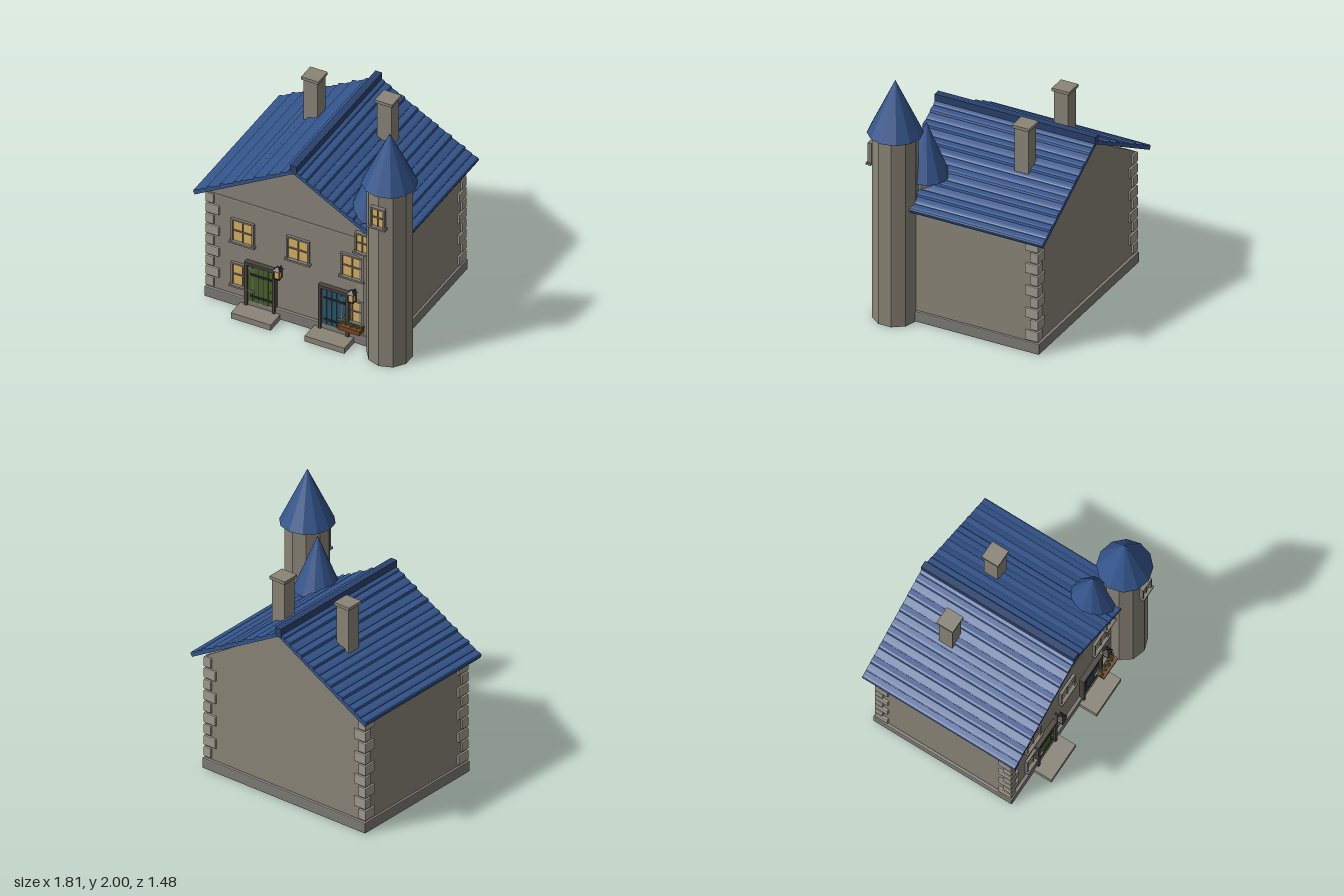
import * as THREE from 'three';
import { RoundedBoxGeometry } from 'three/addons/geometries/RoundedBoxGeometry.js';

const mat = (color) => new THREE.MeshStandardMaterial({ color, flatShading: true });
const M = {
  wall: mat(0x8a8478), stone: mat(0xa09a8e), trim: mat(0x7d7a74), roof: mat(0x34558c), ridge: mat(0x2a416c),
  glass: mat(0xd8b060), iron: mat(0x2a2a2e), frame: mat(0x4a443e), green: mat(0x46602a), blue: mat(0x2c5468),
  brass: mat(0xa07838), wood: mat(0x7a4426), leaf: mat(0x4f7038),
};

// House extents: centre line, wall faces
const CX = -0.07, HALF = 0.755, ZB = -0.65, ZF = 0.51, EAVE = 0.945;

function add(parent, name, geo, material, x = 0, y = 0, z = 0) {
  const m = new THREE.Mesh(geo, material);
  m.name = name;
  m.position.set(x, y, z);
  parent.add(m);
  return m;
}

// Box from its minimum and maximum corners
function box(parent, name, material, x0, x1, y0, y1, z0, z1) {
  return add(parent, name, new THREE.BoxGeometry(x1 - x0, y1 - y0, z1 - z0), material,
    (x0 + x1) / 2, (y0 + y1) / 2, (z0 + z1) / 2);
}

function group(parent, name, x = 0, y = 0, z = 0) {
  const g = new THREE.Group();
  g.name = name;
  g.position.set(x, y, z);
  parent.add(g);
  return g;
}

// Window centred on its own origin, sitting on a wall facing +z
function addWindow(parent, name, x, y, z, w, h) {
  const g = group(parent, name, x, y, z), t = 0.014, W = w / 2, H = h / 2;
  box(g, 'pane', M.glass, -W, W, -H, H, -0.01, 0.006);
  for (const s of [-1, 1]) {
    box(g, 'sideFrame', M.trim, s * W - t / 2, s * W + t / 2, -H, H, -0.01, 0.022);
  }
  box(g, 'topFrame', M.trim, -W - t / 2, W + t / 2, H - t / 2, H + t / 2, -0.01, 0.022);
  box(g, 'sill', M.trim, -W - 0.018, W + 0.018, -H - 0.012, -H + 0.004, -0.01, 0.034);
  box(g, 'mullion', M.trim, -0.005, 0.005, -H, H, 0, 0.014);
  box(g, 'crossbar', M.trim, -W, W, -0.005, 0.005, 0, 0.014);
}

// Plank door with frame, iron straps, knob and a doorstep
function addDoor(parent, name, x, material) {
  const g = group(parent, name, x, 0, ZF), W = 0.105, top = 0.415;
  for (const s of [-1, 1]) {
    box(g, 'jamb', M.frame, s * 0.115 - 0.012, s * 0.115 + 0.012, 0.05, 0.44, -0.01, 0.04);
  }
  box(g, 'lintel', M.frame, -0.127, 0.127, top, 0.44, -0.01, 0.04);
  for (let i = 0; i < 5; i++) {
    const a = -W + i * 0.042;
    box(g, 'plank', material, a + 0.002, a + 0.04, 0.05, top, -0.01, 0.022);
  }
  box(g, 'doorBacking', M.iron, -W, W, 0.05, top, -0.01, 0.016);
  for (const y of [0.135, 0.33]) box(g, 'strap', M.iron, -W + 0.02, W - 0.015, y - 0.009, y + 0.009, 0.02, 0.029);
  add(g, 'knob', new THREE.SphereGeometry(0.01, 8, 6), M.brass, 0.08, 0.228, 0.03);
  box(g, 'doorstep', M.stone, -0.165, 0.165, 0, 0.05, -0.02, 0.175).material = M.wall;
}

// Wall lantern: bracket, lit box, corner posts and pyramid cap
function addLantern(parent, x) {
  const g = group(parent, 'lantern', x, 0.44, 0.565);
  add(g, 'lamp', new THREE.BoxGeometry(0.042, 0.07, 0.042), M.glass);
  for (const sx of [-1, 1]) for (const sz of [-1, 1]) {
    add(g, 'post', new THREE.BoxGeometry(0.007, 0.074, 0.007), M.iron, sx * 0.021, 0, sz * 0.021);
  }
  add(g, 'base', new THREE.BoxGeometry(0.05, 0.008, 0.05), M.iron, 0, -0.038, 0);
  add(g, 'cap', new THREE.ConeGeometry(0.045, 0.03, 4), M.iron, 0, 0.048, 0).rotation.y = Math.PI / 4;
  add(g, 'finial', new THREE.SphereGeometry(0.006, 6, 4), M.iron, 0, 0.064, 0);
  add(g, 'bracket', new THREE.BoxGeometry(0.012, 0.012, 0.06), M.iron, 0, 0.03, -0.035);
}

// One roof slope: overlapping tile rows extruded along z
function addRoofSlope(parent, side) {
  const rows = 15, L = 0.955, c = 0.873, s = 0.488, apex = 1.437;
  const at = (d, h) => new THREE.Vector2(side * (d * c + h * s * Math.min(1, d * 20)), apex - d * s + h * c);
  const pts = [];
  for (let i = 0; i < rows; i++) {
    const lift = 0.010 + 0.006 * Math.sin(i * 2.7);
    pts.push(at((i / rows) * L, 0), at(((i + 0.55) / rows) * L, lift * 0.9),
      at(((i + 0.8) / rows) * L, lift), at(((i + 0.97) / rows) * L, 0.004));
  }
  pts.push(at(L, -0.003), at(L, -0.028), at(0, -0.028));
  const geo = new THREE.ExtrudeGeometry(new THREE.Shape(pts), { depth: 1.33, bevelEnabled: false });
  add(parent, side > 0 ? 'leftRoofSlope' : 'rightRoofSlope', geo, M.roof, CX, 0, -0.735);
}

// Round tower with a conical roof
function addTower(parent, name, x, z, r, wallTop, coneR, coneTop, coneZ = z) {
  const g = group(parent, name);
  add(g, 'shaft', new THREE.CylinderGeometry(r, r, wallTop, 10), M.wall, x, wallTop / 2, z);
  const h = coneTop - wallTop + 0.005;
  add(g, 'spire', new THREE.ConeGeometry(coneR, h, 12), M.roof, x, coneTop - h / 2, coneZ);
}

// Alternating long and short corner stones
function addQuoins(parent, name, sx, sz) {
  const g = group(parent, name);
  const n = 9, pitch = (EAVE - 0.095) / n, out = 0.016;
  for (let i = 0; i < n; i++) {
    const wide = (n - 1 - i) % 2;
    const w = wide ? 0.115 : 0.072, d = wide ? 0.072 : 0.115;
    const ex = CX + sx * (HALF + out), ez = sz > 0 ? ZF + out : ZB - out;
    add(g, 'cornerStone', new RoundedBoxGeometry(w, pitch - 0.012, d, 1, 0.008), M.stone,
      ex - sx * w / 2, 0.095 + pitch * (i + 0.5), ez - sz * d / 2);
  }
}

export function createModel() {
  const house = new THREE.Group();
  house.name = 'house';

  // Walls with gables, plinth and string course
  const s = new THREE.Shape([[-HALF, 0.05], [HALF, 0.05], [HALF, EAVE], [0, 1.418], [-HALF, EAVE]]
    .map(([x, y]) => new THREE.Vector2(x, y)));
  add(house, 'walls', new THREE.ExtrudeGeometry(s, { depth: ZF - ZB, bevelEnabled: false }), M.wall, CX, 0, ZB);
  const plinth = new RoundedBoxGeometry(1.55, 0.088, 1.21, 1, 0.008);
  add(house, 'plinth', plinth, M.trim, CX, 0.046, -0.07);
  box(house, 'stringCourse', M.stone, CX - HALF, CX + HALF, 0.937, 0.947, ZF - 0.01, ZF + 0.004);
  for (const [sx, sz] of [[-1, 1], [-1, -1], [1, -1]]) addQuoins(house, 'quoins', sx, sz);

  // Roof
  addRoofSlope(house, 1);
  addRoofSlope(house, -1);
  box(house, 'ridgeCap', M.ridge, CX - 0.028, CX + 0.028, 1.41, 1.485, -0.738, 0.598);

  // Chimneys
  for (const side of [-1, 1]) {
    const x = CX + side * 0.306, g = group(house, 'chimney', x, 0, -0.307);
    box(g, 'stack', M.wall, -0.059, 0.059, 1.2, 1.61, -0.059, 0.059);
    box(g, 'cap', M.wall, -0.072, 0.072, 1.607, 1.632, -0.072, 0.072);
  }

  // Towers
  addTower(house, 'tallTower', 0.695, 0.528, 0.172, 1.565, 0.21, 2);
  addTower(house, 'smallTurret', 0.48, 0.405, 0.126, 1.14, 0.178, 1.575, 0.385);

  // Windows
  for (const x of [-0.53, CX, 0.38]) addWindow(house, 'upperWindow', x, 0.675, ZF, 0.175, 0.195);
  for (const x of [-0.53, 0.38]) addWindow(house, 'lowerWindow', x, 0.28, ZF, 0.175, 0.195);
  addWindow(house, 'turretWindow', 0.473, 0.932, 0.53, 0.105, 0.165);
  addWindow(house, 'towerWindow', 0.695, 1.355, 0.705, 0.105, 0.165);

  // Doors and lanterns
  addDoor(house, 'greenDoor', -0.376, M.green);
  addDoor(house, 'blueDoor', 0.236, M.blue);
  addLantern(house, -0.215);
  addLantern(house, 0.4);

  // Flower box
  const fb = group(house, 'flowerBox', 0.392, 0, 0.565);
  box(fb, 'planter', M.wood, -0.09, 0.09, 0.132, 0.172, -0.04, 0.035);
  box(fb, 'rim', M.wood, -0.095, 0.095, 0.166, 0.176, -0.04, 0.04);
  for (let i = 0; i < 8; i++) {
    const r = 0.014 + 0.003 * Math.sin(i * 2.1);
    add(fb, 'plant', new THREE.IcosahedronGeometry(r, 0), M.leaf, -0.077 + i * 0.022, 0.182, 0.012 * Math.cos(i * 3));
  }
  return house;
}
